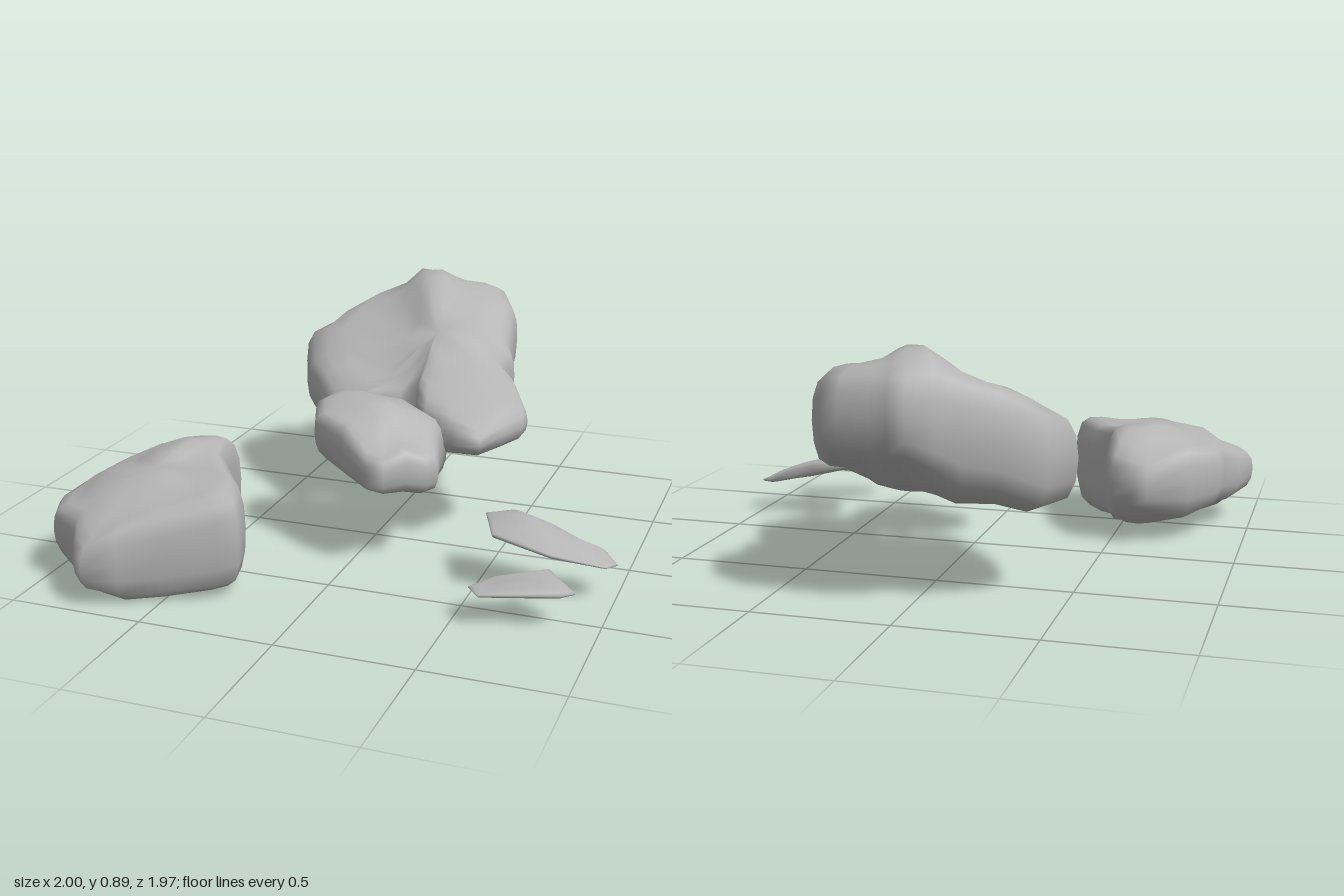
import * as THREE from 'three';

// Cross-section of every stone: [scale of outline, height from underside 0 to top 1]
const LEVELS = [[0, 0], [0.25, 0], [0.5, 0], [0.7, 0], [0.84, 0.01], [0.94, 0.1], [0.985, 0.28],
  [1, 0.52], [0.985, 0.76], [0.935, 0.92], [0.84, 0.99], [0.7, 1], [0.5, 1], [0.25, 1], [0, 1]];

// Height at (x, z), blended from nearby spot heights [x, z, y]
function heightAt(spots, x, z) {
  let sum = 0, weight = 0;
  for (const [sx, sz, sy] of spots) {
    const w = 1 / (((x - sx) ** 2 + (z - sz) ** 2) ** 1.5 + 0.0003);
    sum += w * sy;
    weight += w;
  }
  return sum / weight;
}

// Stone from a plan outline [x, z], shrunk ring by ring between its underside and its top
function stone(name, material, { centre: [cx, cz], outline, top, under }) {
  const n = outline.length, last = LEVELS.length - 1;
  const positions = [], index = [];
  LEVELS.forEach(([s, t], level) => {
    const ring = level === 0 || level === last ? [[cx, cz]] : outline;
    for (const [ox, oz] of ring) {
      const x = cx + (ox - cx) * s, z = cz + (oz - cz) * s;
      const low = heightAt(under, x, z), high = heightAt(top, x, z);
      positions.push(x, low + (high - low) * t, z);
    }
  });
  const id = (level, i) => level === 0 ? 0
    : level === last ? 1 + (last - 1) * n : 1 + (level - 1) * n + i % n;
  for (let l = 0; l < last; l++) {
    for (let i = 0; i < n; i++) {
      const a = id(l, i), b = id(l + 1, i), c = id(l + 1, i + 1), d = id(l, i + 1);
      if (l > 0) index.push(a, b, d);
      if (l < last - 1) index.push(b, c, d);
    }
  }
  const geometry = new THREE.BufferGeometry();
  geometry.setAttribute('position', new THREE.Float32BufferAttribute(positions, 3));
  geometry.setIndex(index);
  geometry.computeVertexNormals();
  const mesh = new THREE.Mesh(geometry, material);
  mesh.name = name;
  return mesh;
}

const STONES = {
  // low boulder at the front
  frontBoulder: {
    centre: [-0.63, 0.58],
    outline: [[-0.65, 0.11], [-0.58, 0.14], [-0.51, 0.14], [-0.47, 0.22], [-0.46, 0.35],
      [-0.36, 0.48], [-0.28, 0.59], [-0.25, 0.71], [-0.3, 0.77], [-0.48, 0.85], [-0.62, 0.93],
      [-0.73, 0.98], [-0.79, 0.93], [-0.84, 0.84], [-0.95, 0.79], [-1, 0.67], [-0.96, 0.55],
      [-0.91, 0.47], [-0.9, 0.35], [-0.8, 0.22]],
    top: [[-0.63, 0.4, 0.46], [-0.55, 0.3, 0.45], [-0.6, 0.14, 0.33], [-0.85, 0.4, 0.35],
      [-0.97, 0.67, 0.29], [-0.73, 0.96, 0.23], [-0.87, 0.8, 0.29], [-0.6, 0.62, 0.42],
      [-0.36, 0.6, 0.41], [-0.29, 0.7, 0.39], [-0.45, 0.82, 0.34], [-0.62, 0.87, 0.31],
      [-0.75, 0.65, 0.39], [-0.52, 0.48, 0.39]],
    under: [[-0.6, 0.15, 0.14], [-0.6, 0.3, 0.04], [-0.6, 0.6, 0], [-0.6, 0.85, 0],
      [-0.33, 0.66, 0.03], [-0.97, 0.67, 0.13], [-0.73, 0.95, 0.06], [-0.88, 0.4, 0.12],
      [-0.78, 0.75, 0.01]],
  },
  // tall leaning slab at the back
  backSlab: {
    centre: [0.1, -0.45],
    outline: [[-0.2, -0.12], [-0.27, -0.2], [-0.36, -0.29], [-0.45, -0.4], [-0.53, -0.59],
      [-0.46, -0.7], [-0.33, -0.83], [-0.2, -0.86], [-0.14, -0.94], [-0.05, -0.99],
      [0.01, -0.99], [0.08, -0.96], [0.18, -0.98], [0.26, -0.94], [0.34, -0.8], [0.36, -0.63],
      [0.4, -0.54], [0.38, -0.46], [0.46, -0.36], [0.54, -0.22], [0.54, -0.16], [0.49, -0.06],
      [0.43, 0.05], [0.31, 0.03], [0.2, 0.01], [0.12, -0.12], [0.1, -0.23], [0.02, -0.21],
      [-0.09, -0.17]],
    top: [[0, -0.72, 0.92], [-0.05, -0.85, 0.92], [0.1, -0.93, 0.84], [-0.05, -0.97, 0.82],
      [0.2, -0.8, 0.84], [0.28, -0.72, 0.78], [0.36, -0.6, 0.65], [0.15, -0.5, 0.75],
      [0.06, -0.6, 0.81], [-0.05, -0.48, 0.67], [-0.25, -0.65, 0.75], [-0.27, -0.78, 0.79],
      [-0.5, -0.6, 0.66], [-0.4, -0.4, 0.58], [-0.25, -0.45, 0.63], [-0.25, -0.2, 0.48],
      [-0.1, -0.3, 0.55], [0, -0.25, 0.52], [0.12, -0.4, 0.71], [0.2, -0.3, 0.65],
      [0.22, -0.18, 0.59], [0.35, -0.15, 0.57], [0.25, 0, 0.54], [0.43, 0.02, 0.48],
      [0.52, -0.2, 0.52], [0.4, -0.4, 0.59]],
    under: [[-0.5, -0.58, 0.33], [-0.42, -0.7, 0.31], [-0.4, -0.45, 0.34], [-0.2, -0.17, 0.32],
      [0, -0.24, 0.33], [-0.08, -0.38, 0.27], [-0.15, -0.6, 0.32], [0.05, -0.7, 0.38],
      [-0.25, -0.8, 0.4], [0, -0.95, 0.54], [0.2, -0.95, 0.54], [0.35, -0.7, 0.46],
      [0.2, -0.5, 0.4], [0.4, -0.4, 0.41], [0.5, -0.2, 0.39], [0.42, 0, 0.38],
      [0.25, 0, 0.36], [0.2, -0.2, 0.36]],
  },
  // small boulder resting against the slab
  middleBoulder: {
    centre: [0.06, 0.11],
    outline: [[-0.22, 0.07], [-0.17, 0], [-0.1, -0.05], [-0.02, -0.08], [0.08, -0.13],
      [0.15, -0.05], [0.28, -0.02], [0.28, 0.07], [0.31, 0.18], [0.29, 0.24], [0.22, 0.27],
      [0.16, 0.36], [0.08, 0.34], [-0.05, 0.25], [-0.18, 0.18]],
    top: [[-0.2, 0.07, 0.56], [-0.12, 0.05, 0.61], [0.03, 0.08, 0.61], [0.1, -0.1, 0.54],
      [0.18, 0.02, 0.56], [0.05, 0.2, 0.53], [0.1, 0.32, 0.43], [0.2, 0.2, 0.47],
      [0.29, 0.18, 0.41], [0.27, 0, 0.48], [-0.15, 0.17, 0.53]],
    under: [[-0.2, 0.08, 0.42], [-0.05, 0.2, 0.33], [0.05, 0.1, 0.28], [0.25, 0.1, 0.27],
      [0.12, 0.32, 0.31], [0.1, -0.1, 0.36], [0.28, 0.2, 0.29]],
  },
  // two thin chips at the side
  largeChip: {
    centre: [0.76, 0.28],
    outline: [[0.5, 0.2], [0.58, 0.16], [0.75, 0.19], [0.87, 0.22], [0.95, 0.2], [1, 0.25],
      [0.97, 0.31], [0.79, 0.4], [0.57, 0.37]],
    top: [[0.5, 0.2, 0.245], [0.6, 0.25, 0.265], [0.67, 0.25, 0.28], [0.57, 0.37, 0.235],
      [0.78, 0.39, 0.2], [0.78, 0.25, 0.225], [0.88, 0.25, 0.2], [1, 0.25, 0.125],
      [0.97, 0.31, 0.135]],
    under: [[0.5, 0.2, 0.235], [0.6, 0.3, 0.21], [0.78, 0.3, 0.17], [0.79, 0.4, 0.185],
      [0.9, 0.27, 0.14], [1, 0.25, 0.115], [0.57, 0.37, 0.22]],
  },
  smallChip: {
    centre: [0.73, 0.55],
    outline: [[0.55, 0.59], [0.61, 0.52], [0.8, 0.45], [0.91, 0.53], [0.87, 0.58], [0.6, 0.65]],
    top: [[0.56, 0.6, 0.13], [0.7, 0.5, 0.16], [0.8, 0.46, 0.185], [0.78, 0.55, 0.165],
      [0.91, 0.53, 0.125], [0.6, 0.64, 0.125]],
    under: [[0.56, 0.6, 0.115], [0.8, 0.46, 0.165], [0.75, 0.55, 0.115], [0.91, 0.53, 0.115],
      [0.6, 0.64, 0.115]],
  },
};

export function createModel() {
  const group = new THREE.Group();
  group.name = 'rocks';
  const grey = new THREE.MeshStandardMaterial({ color: 0xb4b4b4 });
  grey.name = 'stone grey';
  for (const [name, shape] of Object.entries(STONES)) group.add(stone(name, grey, shape));
  return group;
}
